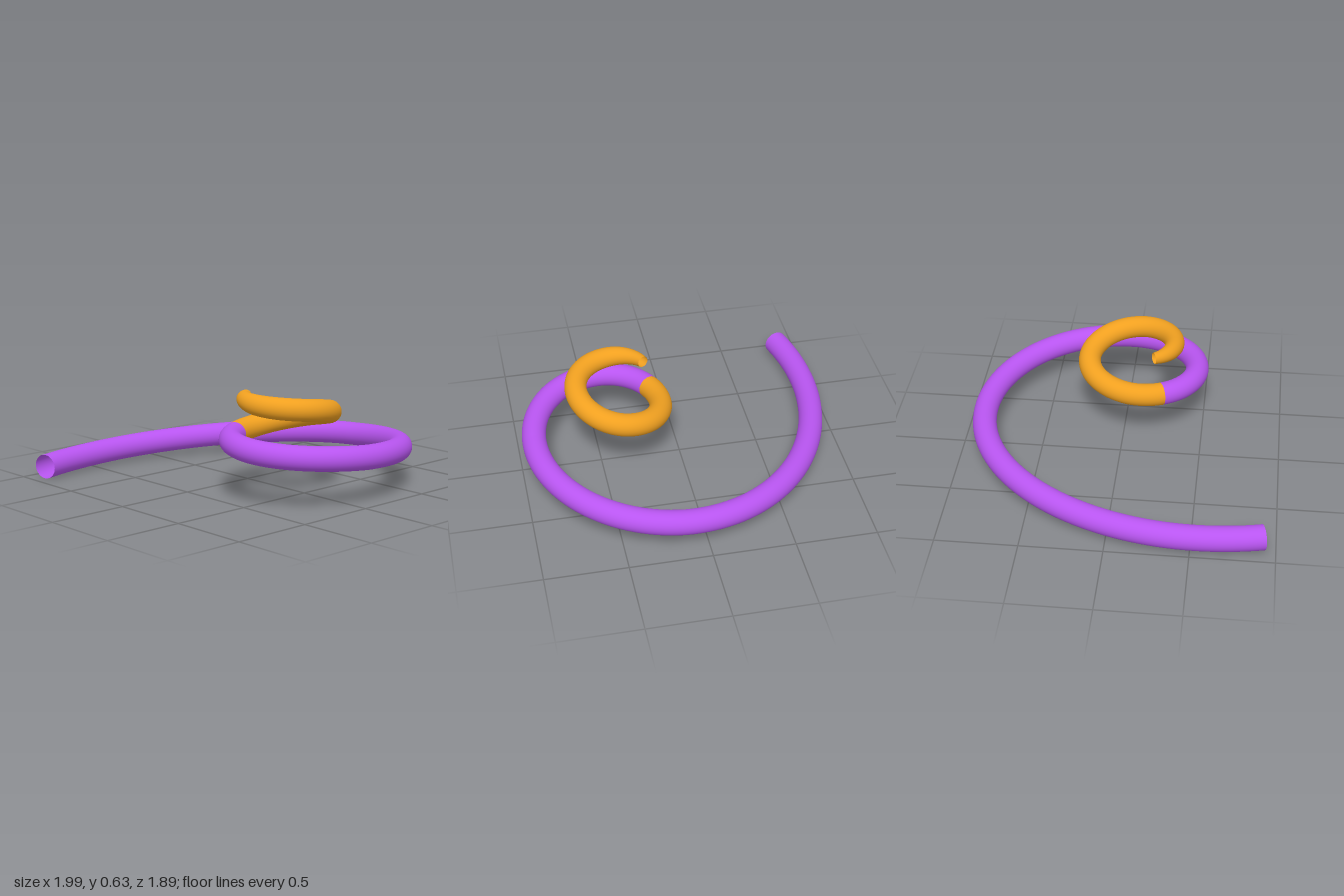
import * as THREE from 'three';

// Turning points of the spiral, a quarter turn apart: x, z, height, tube radius
const turns = [
  [0.075, 1.815, 0.055, 0.076],
  [-0.925, 0.47, 0.085, 0.076],
  [0.13, -0.875, 0.175, 0.075],
  [0.92, -0.1, 0.275, 0.074],
  [0.47, 0.45, 0.33, 0.073],
  [0.11, 0.07, 0.358, 0.07],
  [0.38, -0.235, 0.44, 0.07],
  [0.635, 0.04, 0.53, 0.068],
  [0.38, 0.305, 0.567, 0.061],
  [0.17, 0.1, 0.585, 0.024],
];
const last = turns.length - 1;

// Smooth height (x) and radius (y) along the turns
const rise = new THREE.CatmullRomCurve3(
  turns.map(([, , y, r]) => new THREE.Vector3(y, r, 0)), false, 'catmullrom', 0.5);

// Each quarter turn is a quarter of an ellipse; u counts quarter turns
class Spiral extends THREE.Curve {
  constructor(from, to) {
    super();
    this.from = from;
    this.to = to;
  }
  turnAt(t) {
    return this.from + (this.to - this.from) * t;
  }
  radiusAt(t) {
    return rise.getPoint(this.turnAt(t) / last).y;
  }
  getPoint(t, target = new THREE.Vector3()) {
    const u = this.turnAt(t);
    const i = Math.min(Math.floor(u), last - 1);
    const a = (u - i) * Math.PI / 2;
    const s = Math.sin(a), c = 1 - Math.cos(a);
    const [p, q] = [turns[i], turns[i + 1]];
    const [kx, kz] = i % 2 === 0 ? [s, c] : [c, s];
    return target.set(
      p[0] + (q[0] - p[0]) * kx,
      rise.getPoint(u / last).x,
      p[1] + (q[1] - p[1]) * kz);
  }
  getPointAt(t, target) {
    return this.getPoint(t, target);
  }
  getTangentAt(t, target) {
    return this.getTangent(t, target);
  }
}

// Open tube whose rings are scaled to the local radius
function taperedTube(name, from, to, color) {
  const path = new Spiral(from, to);
  const rings = 160, sides = 32;
  const geometry = new THREE.TubeGeometry(path, rings, 1, sides, false);
  const pos = geometry.attributes.position;
  const v = new THREE.Vector3();
  for (let i = 0; i <= rings; i++) {
    const centre = path.getPoint(i / rings);
    const radius = path.radiusAt(i / rings);
    for (let j = 0; j <= sides; j++) {
      const k = i * (sides + 1) + j;
      v.fromBufferAttribute(pos, k).sub(centre).multiplyScalar(radius).add(centre);
      pos.setXYZ(k, v.x, v.y, v.z);
    }
  }
  const mesh = new THREE.Mesh(geometry,
    new THREE.MeshStandardMaterial({ color, side: THREE.DoubleSide }));
  mesh.name = name;
  return mesh;
}

export function createModel() {
  const group = new THREE.Group();
  group.name = 'spiralTube';
  group.add(taperedTube('lowerCoil', 0.78, 4.7, 0xb855f0));
  group.add(taperedTube('upperCoil', 4.7, 8.71, 0xf0a020));
  return group;
}
